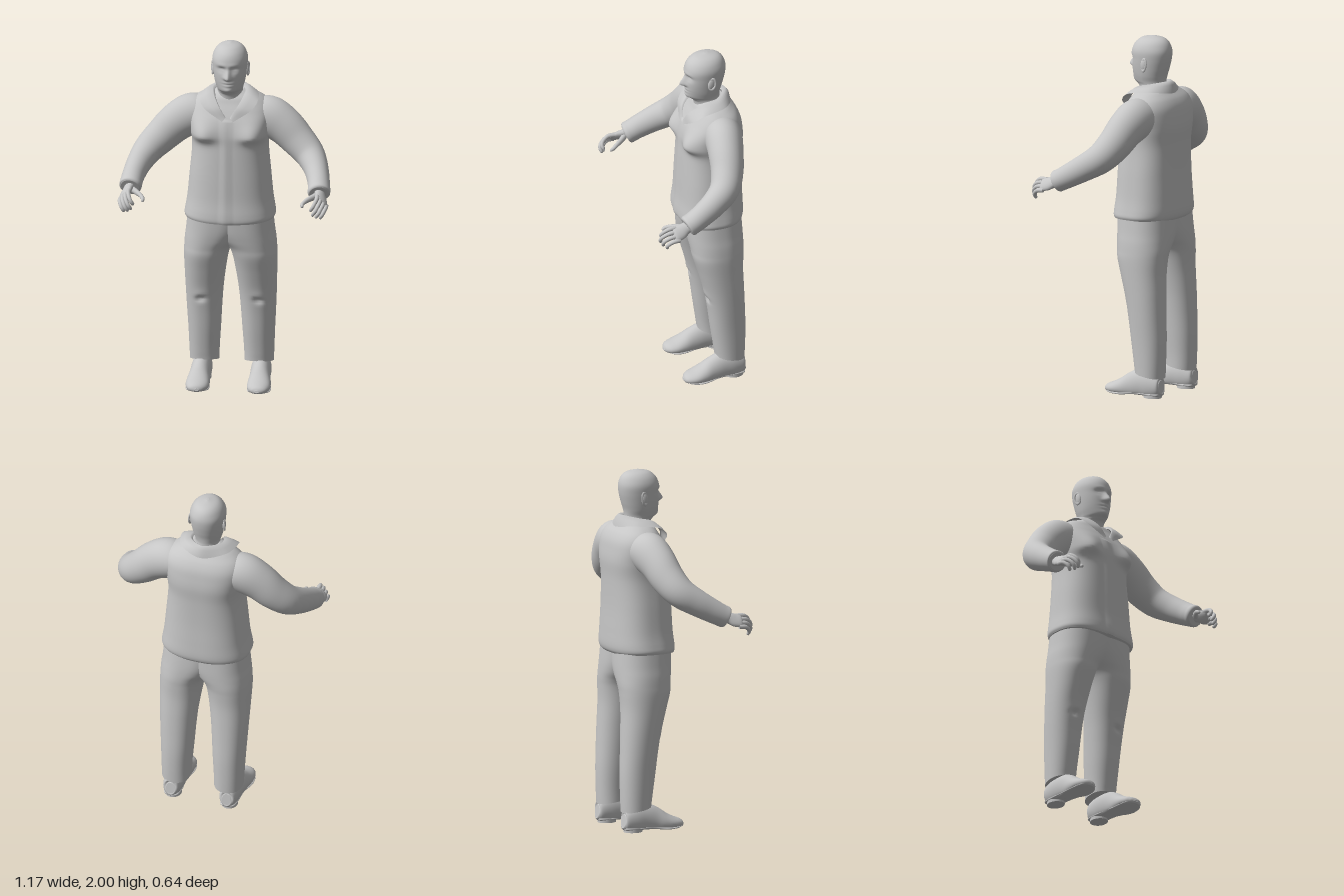
import * as THREE from 'three';

const V = (x, y, z) => new THREE.Vector3(x, y, z);
const grey = new THREE.MeshStandardMaterial({ color: 0xc6c6c6, side: THREE.DoubleSide });
grey.name = 'plain grey';

const bump = (d, s) => Math.exp(-(d * d) / (2 * s * s));

// Smoothly fills in rows between the given ones, column by column
function refine(rows, steps) {
  const out = [];
  const cr = (a, b, c, d, t) =>
    b + 0.5 * t * (c - a + t * (2 * a - 5 * b + 4 * c - d + t * (3 * (b - c) + d - a)));
  for (let i = 0; i < rows.length - 1; i++) {
    const [b, c] = [rows[i], rows[i + 1]];
    const a = rows[i - 1] || b, d = rows[i + 2] || c;
    for (let k = 0; k < steps; k++) out.push(b.map((_, j) => cr(a[j], b[j], c[j], d[j], k / steps)));
  }
  out.push(rows[rows.length - 1]);
  return out;
}

// Skin over closed rings, with separate end caps so the rims stay crisp
function skin(rings) {
  const n = rings[0].length, pos = [], idx = [];
  rings.forEach(r => r.forEach(p => pos.push(p.x, p.y, p.z)));
  for (let i = 0; i < rings.length - 1; i++) for (let j = 0; j < n; j++) {
    const a = i * n + j, b = i * n + (j + 1) % n;
    idx.push(a, b, a + n, b, b + n, a + n);
  }
  [rings[0], rings[rings.length - 1]].forEach((r, end) => {
    const s = pos.length / 3, c = V(0, 0, 0);
    r.forEach(p => { pos.push(p.x, p.y, p.z); c.addScaledVector(p, 1 / n); });
    pos.push(c.x, c.y, c.z);
    for (let j = 0; j < n; j++) {
      const a = s + j, b = s + (j + 1) % n;
      end ? idx.push(s + n, a, b) : idx.push(s + n, b, a);
    }
  });
  const g = new THREE.BufferGeometry();
  g.setAttribute('position', new THREE.Float32BufferAttribute(pos, 3));
  g.setIndex(idx);
  g.computeVertexNormals();
  return g;
}

const sup = (v, n) => Math.sign(v) * Math.pow(Math.abs(v), 2 / n);

// Stack of level sections: [y, xMin, xMax, zBack, zFront, squareness]
function stack(rows, segs, steps, shape) {
  return skin(refine(rows, steps).map(([y, x0, x1, z0, z1, n]) =>
    Array.from({ length: segs }, (_, j) => {
      const a = j / segs * Math.PI * 2;
      const p = V((x0 + x1) / 2 + (x1 - x0) / 2 * sup(Math.sin(a), n), y,
        (z0 + z1) / 2 + (z1 - z0) / 2 * sup(Math.cos(a), n));
      shape(p, Math.cos(a));
      return p;
    })));
}

// Limb along a path: [x, y, z, vertical radius, sideways radius]
function limb(rows, segs, steps, roll = 0, shape = () => {}) {
  const pts = refine(rows, steps), at = i => V(...pts[i].slice(0, 3));
  return skin(pts.map((r, i) => {
    const t = at(Math.min(i + 1, pts.length - 1)).sub(at(Math.max(i - 1, 0))).normalize();
    const u = t.clone().cross(V(0, 1, 0)).normalize().applyAxisAngle(t, -roll);
    const v = u.clone().cross(t);
    return Array.from({ length: segs }, (_, j) => {
      const a = j / segs * Math.PI * 2;
      const p = at(i).addScaledVector(u, r[4] * Math.sin(a)).addScaledVector(v, r[3] * Math.cos(a));
      shape(p);
      return p;
    });
  }));
}

function mirrored(geo) {
  const g = geo.clone().scale(-1, 1, 1), ix = g.index.array;
  for (let i = 0; i < ix.length; i += 3) [ix[i], ix[i + 1]] = [ix[i + 1], ix[i]];
  g.computeVertexNormals();
  return g;
}

export function createModel() {
  const model = new THREE.Group();
  model.name = 'standingMan';
  const add = (name, geo) => {
    const m = new THREE.Mesh(geo, grey);
    m.name = name;
    model.add(m);
  };
  const pair = (name, geo) => {
    add('left' + name, geo);
    add('right' + name, mirrored(geo));
  };
  const even = ([y, w, z0, z1, n]) => [y, -w, w, z0, z1, n];

  // Head and neck, with the face pressed into the front
  add('head', stack([
    [1.60, .078, -.205, -.065, 2], [1.70, .074, -.205, -.058, 2], [1.728, .07, -.205, -.038, 2],
    [1.748, .074, -.205, -.014, 2], [1.78, .083, -.21, -.01, 2.1], [1.82, .09, -.222, -.008, 2.1],
    [1.87, .096, -.234, -.008, 2.1], [1.915, .098, -.238, -.008, 2.1], [1.95, .088, -.23, -.02, 2],
    [1.975, .07, -.213, -.043, 2], [1.99, .046, -.187, -.07, 2], [2.0, .006, -.14, -.12, 2],
  ].map(even), 96, 8, (p, c) => {
    if (c <= 0) return;
    const { x, y } = p, ax = Math.abs(x);
    p.z += .034 * bump(x, .009 + .005 * bump(y - 1.825, .012)) * (y > 1.825 ? bump(y - 1.825, .027) : bump(y - 1.825, .008))
      - .014 * bump(ax - .036, .016) * bump(y - 1.872, .011)
      + .006 * bump(ax - .036, .013) * bump(y - 1.868, .006)
      + .004 * bump(ax - .03, .025) * bump(y - 1.896, .009)
      + .005 * bump(x, .02) * (bump(y - 1.797, .005) + bump(y - 1.78, .006))
      - .003 * bump(x, .024) * bump(y - 1.788, .003)
      + .006 * bump(x, .02) * bump(y - 1.752, .011);
    p.x *= 1 - .16 * c * bump(y - 1.755, .04);
  }));

  // Ears: a shell and a rim
  const shell = new THREE.SphereGeometry(1, 16, 12).scale(.009, .034, .02).rotateX(-.15).translate(.095, 1.848, -.13);
  const rim = new THREE.TorusGeometry(.019, .005, 8, 24).scale(1, 1.75, 1)
    .rotateY(Math.PI / 2 - .3).rotateX(-.15).translate(.098, 1.848, -.132);
  pair('Ear', shell);
  pair('EarRim', rim);

  // Jacket body with chest fullness and a front placket
  add('jacketBody', stack([
    [.988, .246, -.3, .042, 2.5], [1.005, .252, -.311, .047, 2.5], [1.04, .248, -.316, .046, 2.5],
    [1.12, .236, -.314, .038, 2.5], [1.25, .224, -.31, .033, 2.5], [1.4, .211, -.312, .026, 2.5],
    [1.5, .218, -.318, .018, 2.6], [1.57, .228, -.312, .002, 2.6], [1.62, .226, -.302, -.022, 2.5],
    [1.66, .205, -.282, -.046, 2.4], [1.69, .165, -.255, -.062, 2.3], [1.71, .12, -.235, -.08, 2.2],
    [1.725, .075, -.22, -.09, 2],
  ].map(even), 112, 8, (p, c) => {
    const y = p.y;
    if (c > 0) {
      p.z += .045 * bump(Math.abs(p.x) - .15, .055) * (y > 1.49 ? bump(y - 1.49, .055) : bump(y - 1.49, .025));
      if (Math.abs(p.x + .008) < .024 && y < 1.58) p.z += .006;
    }
    p.y += .01 * bump(y - .99, .04) * Math.min(1, (p.x / .25) ** 2);
  }));

  // Folded collar: strip between the neck edge, the fold and the outer edge
  const edge = half => new THREE.CatmullRomCurve3([
    ...half.map(p => V(...p)), ...half.slice(0, -1).reverse().map(([x, y, z]) => V(-x, y, z))], false, 'centripetal');
  const lines = [
    edge([[.012, 1.6, .003], [.045, 1.65, -.014], [.076, 1.7, -.075], [.076, 1.725, -.16], [0, 1.74, -.22]]),
    edge([[.014, 1.6, .01], [.052, 1.66, -.008], [.09, 1.72, -.08], [.09, 1.742, -.165], [0, 1.757, -.24]]),
    edge([[.022, 1.59, .015], [.09, 1.652, -.008], [.13, 1.708, -.075], [.113, 1.727, -.185], [0, 1.735, -.257]]),
    edge([[.03, 1.58, .018], [.135, 1.648, -.014], [.162, 1.688, -.065], [.133, 1.705, -.2], [0, 1.69, -.266]]),
  ];
  const collar = new THREE.PlaneGeometry(1, 1, 64, 3), cp = collar.attributes.position;
  for (let i = 0; i < cp.count; i++) {
    const p = lines[Math.floor(i / 65)].getPoint((i % 65) / 64);
    cp.setXYZ(i, p.x, p.y, p.z);
  }
  collar.computeVertexNormals();
  add('collar', collar);

  // Sleeves, sunk into the shoulder and ending in a plain cuff
  pair('Sleeve', limb([
    [.08, 1.585, -.165, .06, .07], [.15, 1.575, -.165, .098, .1], [.22, 1.562, -.158, .116, .104],
    [.3, 1.515, -.144, .108, .097], [.375, 1.445, -.125, .097, .09], [.445, 1.378, -.085, .085, .082],
    [.488, 1.325, -.01, .075, .069], [.512, 1.278, .07, .067, .062], [.521, 1.248, .125, .062, .062],
    [.523, 1.235, .152, .061, .062], [.524, 1.231, .16, .05, .052],
  ], 40, 5));

  // Hands: palm, four curled fingers and a thumb
  const roll = Math.PI / 4;
  pair('Palm', limb([
    [.525, 1.24, .12, .026, .034], [.53, 1.23, .165, .024, .034], [.54, 1.217, .2, .021, .042],
    [.546, 1.21, .232, .017, .042], [.546, 1.206, .243, .009, .036],
  ], 20, 4, roll));
  [.95, 1.08, 1, .82].forEach((k, i) => {
    const x = .522 + .016 * i, y = 1.236 - .018 * i, z = .225 - .003 * i;
    const path = [[0, 0], [.042, .002], [.072, -.014], [.083, -.034], [.078, -.052], [.076, -.056]];
    pair('Finger' + (i + 1), limb(path.map(([f, v], j) =>
      [x + v * k * .6, y + v * k - f * .1, z + f * k, ...Array(2).fill([.013, .012, .011, .0105, .009, .003][j])]), 10, 3));
  });
  pair('Thumb', limb([
    [.52, 1.228, .165, .016, .018], [.488, 1.217, .195, .017, .015], [.46, 1.21, .23, .013, .012],
    [.443, 1.2, .258, .011, .011], [.443, 1.19, .274, .008, .008], [.444, 1.188, .278, .002, .002],
  ], 12, 3));

  // Trousers: two legs that merge above the crotch, with a crease at each knee
  pair('TrouserLeg', stack([
    [.125, .07, .232, -.296, -.13, 2.2], [.2, .068, .235, -.3, -.122, 2.2], [.32, .06, .24, -.302, -.105, 2.2],
    [.45, .052, .247, -.298, -.088, 2.2], [.56, .043, .252, -.294, -.068, 2.2], [.68, .027, .256, -.29, -.036, 2.2],
    [.77, .01, .258, -.294, -.01, 2.2], [.82, -.012, .256, -.298, -.003, 2.2], [.87, -.055, .252, -.3, .005, 2.25],
    [.93, -.09, .244, -.3, .012, 2.3], [1.03, -.12, .234, -.296, .018, 2.4],
  ], 72, 8, (p, c) => {
    if (c > 0) {
      const d = p.y - .525;
      p.z += .005 * bump(p.x - .16, .025) * (d > 0 ? bump(d, .025) : bump(d, .006));
      p.z -= .016 * bump(p.x - .16, .018) * bump(p.y - .512, .011);
    }
    p.y += .016 * c * bump(p.y - .125, .03);
  }));

  // Shoes: rounded upper, sole and heel
  const flat = p => { p.y = Math.max(p.y, .014); };
  pair('Shoe', limb([
    [.163, .065, -.295, .035, .025], [.163, .065, -.285, .06, .044], [.164, .07, -.23, .085, .054],
    [.165, .07, -.17, .085, .056], [.167, .055, -.11, .075, .058], [.169, .042, -.06, .058, .064],
    [.17, .034, -.01, .041, .065], [.169, .03, .03, .03, .054], [.167, .028, .052, .019, .034], [.166, .028, .061, .006, .01],
  ], 32, 5, 0, flat));
  pair('Sole', limb([
    [.163, .022, -.294, .006, .02], [.163, .022, -.282, .012, .041], [.164, .022, -.22, .012, .049],
    [.167, .022, -.14, .01, .049], [.17, .013, -.06, .011, .064], [.17, .013, -.01, .011, .065],
    [.169, .018, .03, .009, .053], [.166, .026, .062, .005, .012],
  ], 24, 4));
  pair('Heel', new THREE.CylinderGeometry(.046, .046, .022, 24).scale(1, 1, 1.15).translate(.163, .011, -.237));

  return model;
}
